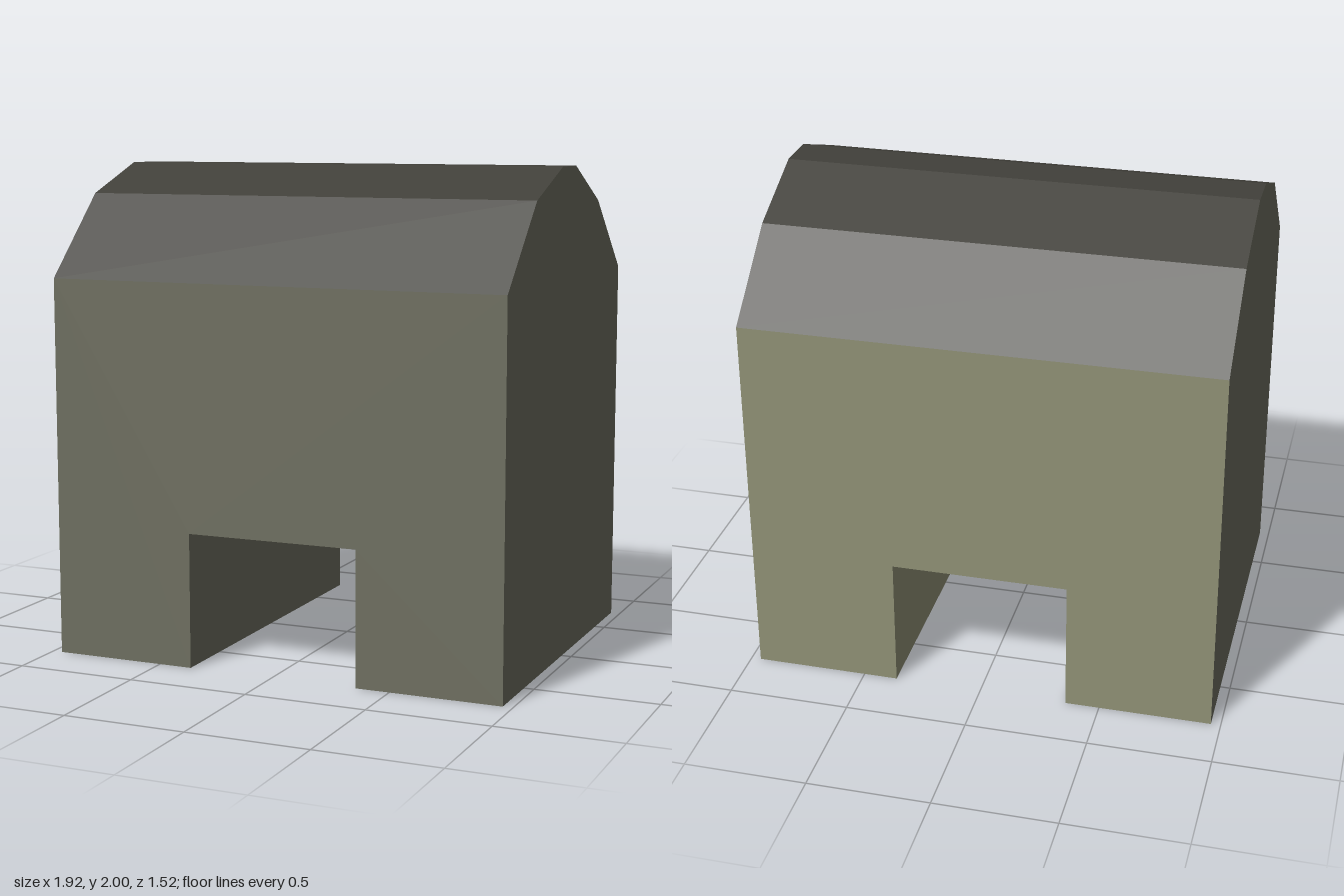
import * as THREE from 'three';

const HALF_X = 0.96, HALF_Z = 0.76, EAVE = 1.55, DOOR_X = 0.36, DOOR_TOP = 0.55;
// Roof section as [z, y], from the front eave to the back eave
const ROOF = [[HALF_Z, EAVE], [0.42, 1.88], [0.09, 2], [-0.09, 2], [-0.42, 1.85], [-HALF_Z, EAVE]];

const material = (name, color) => new THREE.MeshStandardMaterial({ name, color });

// Flat polygon from [x, y] points, facing +z
const polygon = (pts) =>
  new THREE.ShapeGeometry(new THREE.Shape(pts.map(([x, y]) => new THREE.Vector2(x, y))));

// Flat strips running along x from x0 to x1 over a section of [z, y] points
function strips(section, x0, x1) {
  const pos = [];
  for (let i = 0; i < section.length - 1; i++) {
    const [z0, y0] = section[i], [z1, y1] = section[i + 1];
    pos.push(x0, y0, z0, x1, y0, z0, x1, y1, z1);
    pos.push(x0, y0, z0, x1, y1, z1, x0, y1, z1);
  }
  const geo = new THREE.BufferGeometry();
  geo.setAttribute('position', new THREE.Float32BufferAttribute(pos, 3));
  geo.computeVertexNormals();
  return geo;
}

export function createModel() {
  const wall = material('olive grey wall', 0x6e6f60);
  const paleWall = material('pale olive wall', 0x919277);
  const dark = material('dark grey roof', 0x41403a);

  const group = new THREE.Group();
  group.name = 'barrelRoofedShelter';
  const add = (name, geo, mat) => {
    const mesh = new THREE.Mesh(geo, mat);
    mesh.name = name;
    group.add(mesh);
  };

  // Long walls with the passage cut through them
  const longWall = [
    [-HALF_X, 0], [-DOOR_X, 0], [-DOOR_X, DOOR_TOP], [DOOR_X, DOOR_TOP],
    [DOOR_X, 0], [HALF_X, 0], [HALF_X, EAVE], [-HALF_X, EAVE],
  ];
  add('frontWall', polygon(longWall).translate(0, 0, HALF_Z), wall);
  add('backWall', polygon(longWall).rotateY(Math.PI).translate(0, 0, -HALF_Z), paleWall);

  // Gable ends
  for (const side of [1, -1]) {
    const pts = [[-side * HALF_Z, 0], ...ROOF.map(([z, y]) => [-side * z, y]), [side * HALF_Z, 0]];
    const geo = polygon(pts).rotateY(side * Math.PI / 2).translate(side * HALF_X, 0, 0);
    add(side > 0 ? 'leftGable' : 'rightGable', geo, wall);
  }

  // Faceted roof
  add('roof', strips(ROOF, -HALF_X, HALF_X), dark);

  // Passage sides, each facing the middle
  for (const side of [1, -1]) {
    const geo = new THREE.PlaneGeometry(2 * HALF_Z, DOOR_TOP)
      .rotateY(-side * Math.PI / 2).translate(side * DOOR_X, DOOR_TOP / 2, 0);
    add(side > 0 ? 'leftPassageSide' : 'rightPassageSide', geo, side > 0 ? paleWall : wall);
  }

  // Passage ceiling and undersides, facing down
  const underside = (y) => [[-HALF_Z, y], [HALF_Z, y]];
  add('passageCeiling', strips(underside(DOOR_TOP), -DOOR_X, DOOR_X), dark);
  add('leftUnderside', strips(underside(0), DOOR_X, HALF_X), dark);
  add('rightUnderside', strips(underside(0), -HALF_X, -DOOR_X), dark);

  return group;
}
